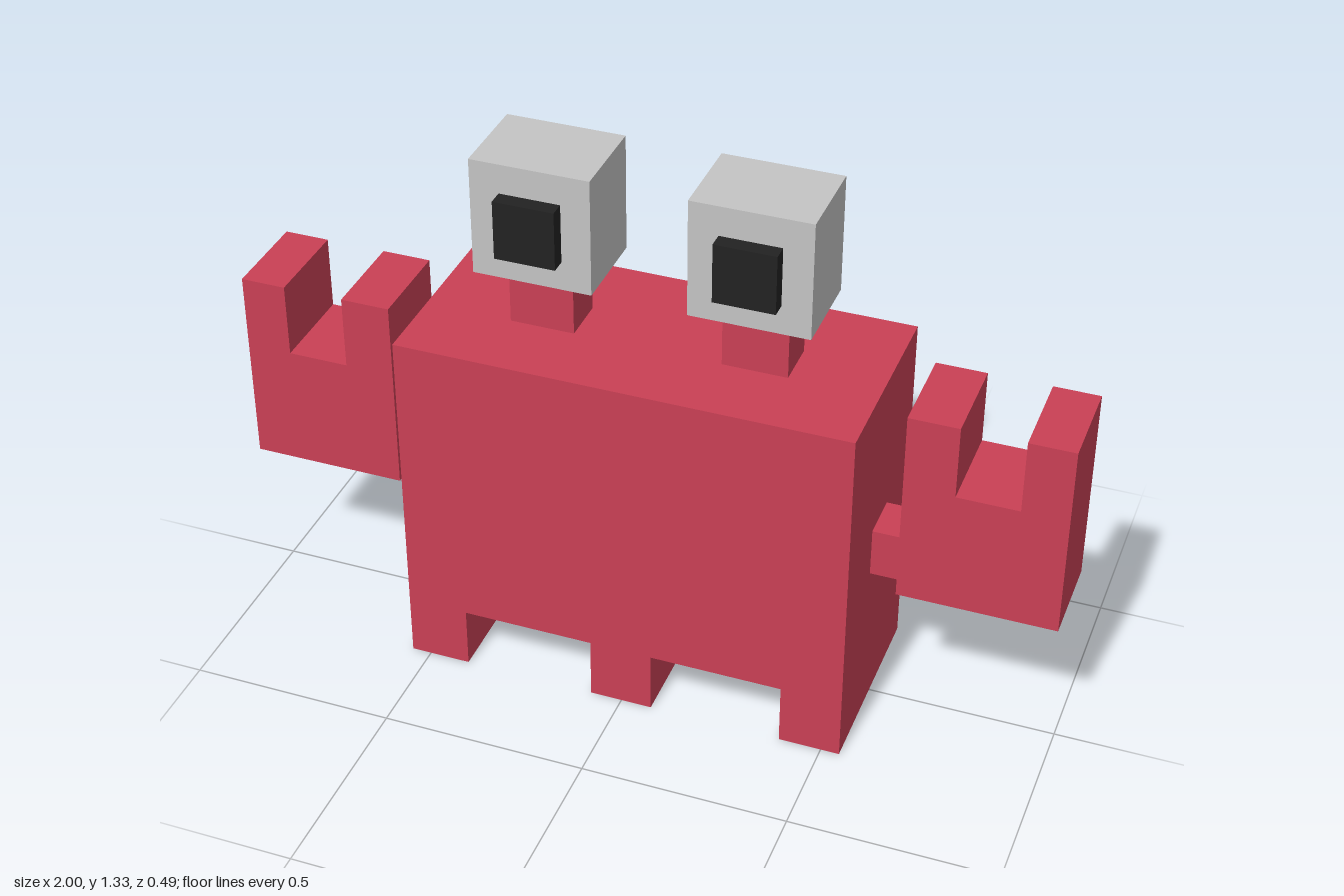
import * as THREE from 'three';

const shellRed = new THREE.MeshStandardMaterial({ color: 0xc94055 });
shellRed.name = 'shellRed';
const eyeGrey = new THREE.MeshStandardMaterial({ color: 0xc4c4c4 });
eyeGrey.name = 'eyeGrey';
const pupilBlack = new THREE.MeshStandardMaterial({ color: 0x222222 });
pupilBlack.name = 'pupilBlack';

// Box given by its lower and upper corners
function box(name, material, [x0, y0, z0], [x1, y1, z1]) {
  const geometry = new THREE.BoxGeometry(x1 - x0, y1 - y0, z1 - z0);
  geometry.translate((x0 + x1) / 2, (y0 + y1) / 2, (z0 + z1) / 2);
  const mesh = new THREE.Mesh(geometry, material);
  mesh.name = name;
  return mesh;
}

// Front outline extruded from z0 to z1
function slab(name, material, outline, z0, z1) {
  const shape = new THREE.Shape(outline.map(([x, y]) => new THREE.Vector2(x, y)));
  const geometry = new THREE.ExtrudeGeometry(shape, { depth: z1 - z0, bevelEnabled: false });
  geometry.translate(0, 0, z0);
  const mesh = new THREE.Mesh(geometry, material);
  mesh.name = name;
  return mesh;
}

export function createModel() {
  const model = new THREE.Group();
  model.name = 'blockCrab';

  // Body with three full-depth legs
  model.add(slab('bodyAndLegs', shellRed, [
    [-0.548, 0], [-0.4, 0], [-0.4, 0.155], [-0.078, 0.155], [-0.078, 0], [0.075, 0],
    [0.075, 0.155], [0.397, 0.155], [0.397, 0], [0.545, 0], [0.545, 0.895], [-0.548, 0.895],
  ], -0.244, 0.244));

  for (const side of [-1, 1]) {
    const prefix = side > 0 ? 'left' : 'right';

    // Arm and U-shaped claw
    const armX = [side * 0.545, side * 0.622].sort((a, b) => a - b);
    model.add(box(prefix + 'Arm', shellRed, [armX[0], 0.4, -0.06], [armX[1], 0.522, 0.057]));
    const claw = [
      [0.622, 0.4], [1, 0.4], [1, 0.892], [0.89, 0.892],
      [0.89, 0.708], [0.742, 0.708], [0.742, 0.892], [0.622, 0.892],
    ].map(([x, y]) => [side * x, y]);
    model.add(slab(prefix + 'Claw', shellRed, claw, -0.12, 0.11));

    // Eye on its stalk
    const eye = new THREE.Group();
    eye.name = prefix + 'Eye';
    eye.position.x = side > 0 ? 0.254 : -0.258;
    eye.add(
      box('stalk', shellRed, [-0.078, 0.895, -0.058], [0.078, 1.042, 0.058]),
      box('eyeball', eyeGrey, [-0.143, 1.042, -0.109], [0.143, 1.333, 0.109]),
      box('pupil', pupilBlack, [-0.073, 1.114, 0.109], [0.073, 1.26, 0.147]),
    );
    model.add(eye);
  }
  return model;
}
